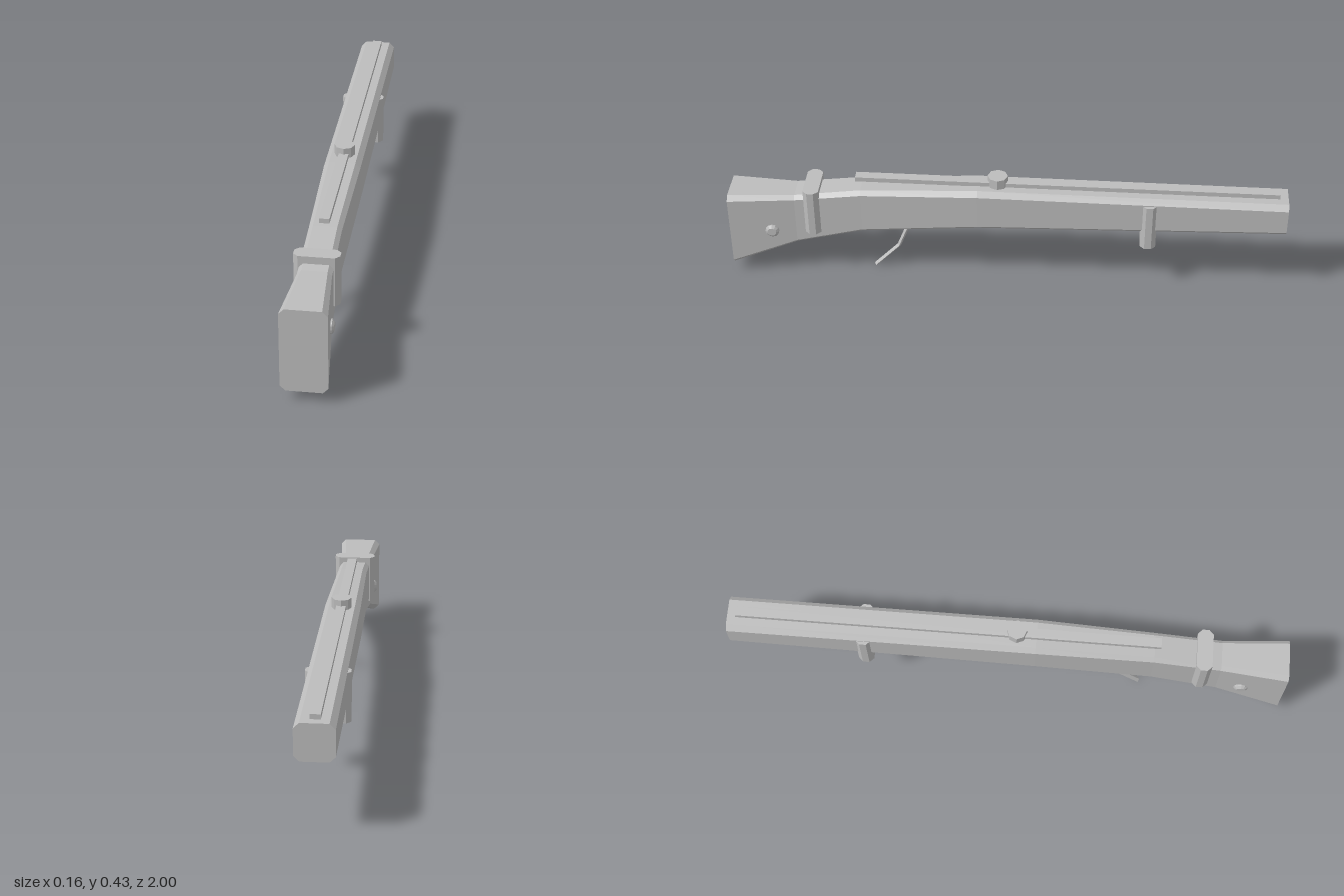
import * as THREE from 'three';

// Skin a list of equal-sized rings (counter-clockwise seen from the first end) and cap both ends.
function loft(rings) {
  const n = rings[0].length, last = (rings.length - 1) * n, index = [];
  for (let i = 0; i < rings.length - 1; i++) {
    for (let j = 0; j < n; j++) {
      const a = i * n + j, b = i * n + (j + 1) % n;
      index.push(a, a + n, b, b, a + n, b + n);
    }
  }
  for (let j = 1; j < n - 1; j++) {
    index.push(0, j, j + 1, last, last + j + 1, last + j);
  }
  const g = new THREE.BufferGeometry();
  g.setAttribute('position', new THREE.Float32BufferAttribute(rings.flat(2), 3));
  g.setIndex(index);
  const flat = g.toNonIndexed();
  flat.computeVertexNormals();
  return flat;
}

// Rectangle with cut corners, counter-clockwise.
function cutRect(w, y0, y1, c) {
  return [[w, y0 + c], [w, y1 - c], [w - c, y1], [c - w, y1],
    [-w, y1 - c], [-w, y0 + c], [c - w, y0], [w - c, y0]];
}

export function createModel() {
  const group = new THREE.Group();
  const grey = new THREE.MeshStandardMaterial({ color: 0xbcbcbc, flatShading: true });
  grey.name = 'plain grey';
  const add = (name, geometry, x = 0, y = 0, z = 0) => {
    const mesh = new THREE.Mesh(geometry, grey);
    mesh.name = name;
    mesh.position.set(x, y, z);
    group.add(mesh);
    return mesh;
  };

  // Stock: z, half width, bottom, top, corner cut
  const sections = [
    [1, 0.078, 0.036, 0.338, 0.018],
    [0.76, 0.057, 0.13, 0.338, 0.014],
    [0.52, 0.056, 0.19, 0.37, 0.015],
    [0.1, 0.065, 0.229, 0.393, 0.018],
    [-1, 0.066, 0.261, 0.391, 0.019],
  ];
  add('stock', loft(sections.map(([z, w, y0, y1, c]) =>
    cutRect(w, y0, y1, c).map(([x, y]) => [x, y, z]))));

  // Sight rail and knob on top
  add('topRail', new THREE.BoxGeometry(0.035, 0.017, 1.51), 0, 0.4, -0.215);
  add('knob', new THREE.CylinderGeometry(0.036, 0.036, 0.042, 8), 0, 0.409, 0.03);

  // Upright blocks through the stock
  for (const [name, z] of [['frontBlock', 0.697], ['rearBlock', -0.513]]) {
    const outline = cutRect(0.077, -0.028, 0.028, 0.016).map(([x, y]) => new THREE.Vector2(x, y));
    const g = new THREE.ExtrudeGeometry(new THREE.Shape(outline), { depth: 0.18, bevelEnabled: false });
    g.rotateX(-Math.PI / 2);
    add(name, g, 0, 0.189, z);
  }

  // Cross pin with bevelled ends
  const pin = [[0, -0.077], [0.016, -0.077], [0.025, -0.07], [0.025, 0.07], [0.016, 0.077], [0, 0.077]];
  const pinMesh = add('crossPin', new THREE.LatheGeometry(
    pin.map(([r, y]) => new THREE.Vector2(r, y)), 12), 0, 0.19, 0.847);
  pinMesh.rotation.z = Math.PI / 2;

  // Bent trigger lever with a diamond section: y, z, normal y, normal z
  const lever = [[0.005, 0.484, 0.7, 0.7], [0.1, 0.394, 0.55, 0.84], [0.23, 0.343, 0.35, 0.94]];
  add('triggerLever', loft(lever.map(([y, z, ny, nz]) =>
    [[0.011, 0], [0, 0.007], [-0.011, 0], [0, -0.007]].map(([x, d]) => [x, y + ny * d, z + nz * d]))));

  return group;
}
